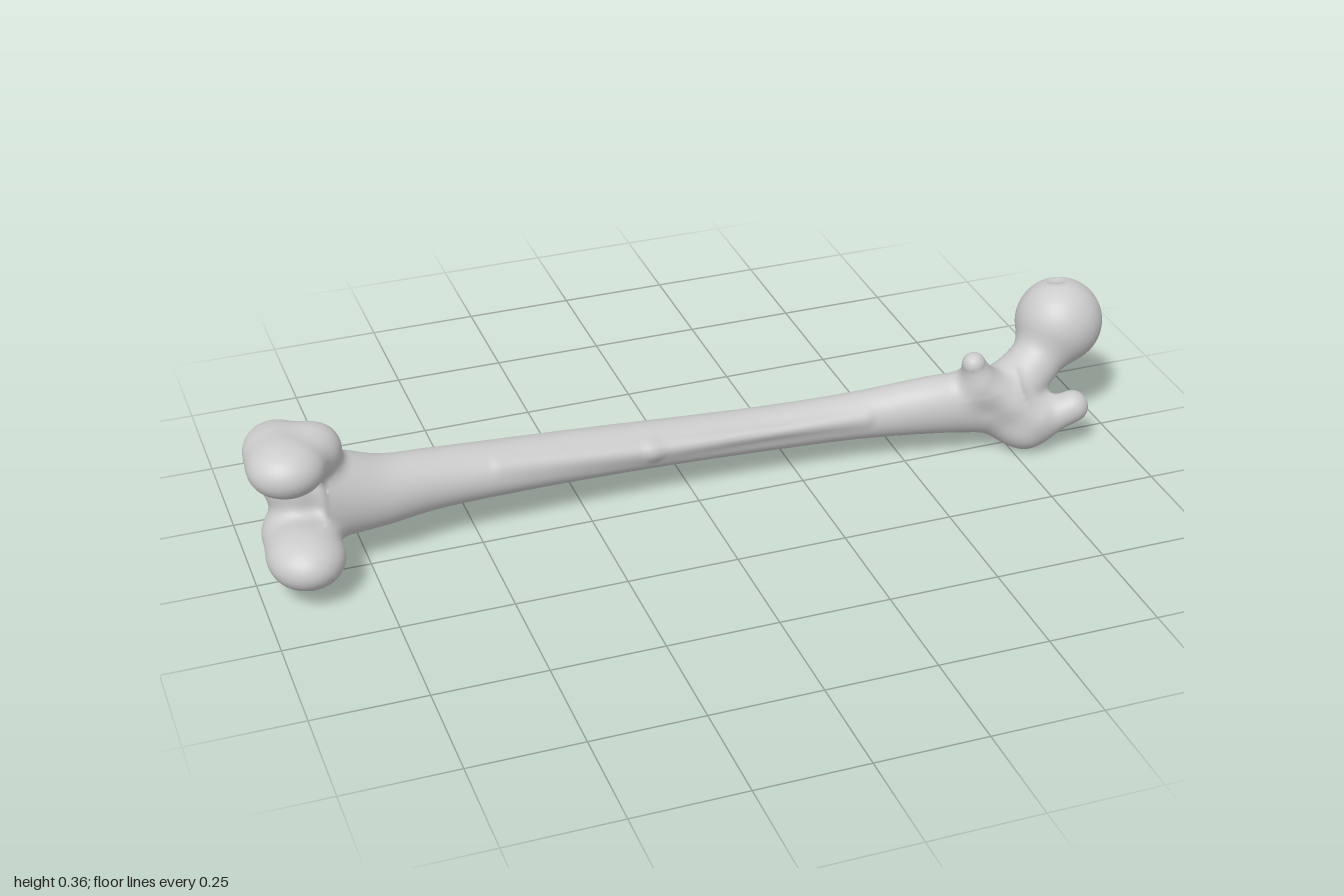
import * as THREE from 'three';

// ---- Distance helpers: each form returns distance from (x, y, z) to its surface ----
const ellipsoid = (c, r) => (x, y, z) => {
  const a = (x - c[0]) / r[0], b = (y - c[1]) / r[1], d = (z - c[2]) / r[2];
  const k0 = Math.hypot(a, b, d), k1 = Math.hypot(a / r[0], b / r[1], d / r[2]);
  return k1 < 1e-6 ? -Math.min(...r) : k0 * (k0 - 1) / k1;
};
const taper = (a, ra, b, rb) => {
  const v = b.map((n, i) => n - a[i]), len2 = v[0] ** 2 + v[1] ** 2 + v[2] ** 2;
  return (x, y, z) => {
    const p = [x - a[0], y - a[1], z - a[2]];
    const t = THREE.MathUtils.clamp((p[0] * v[0] + p[1] * v[1] + p[2] * v[2]) / len2, 0, 1);
    return Math.hypot(p[0] - v[0] * t, p[1] - v[1] * t, p[2] - v[2] * t) - ra - (rb - ra) * t;
  };
};
const blend = (a, b, k) => {
  const h = Math.max(k - Math.abs(a - b), 0) / k;
  return Math.min(a, b) - h * h * k / 4;
};

// Bowed shaft: oval sections [x, centre y, centre z, half height, half depth]
const sections = [
  [-0.84, 0.182, -0.035, 0.112, 0.08],
  [-0.78, 0.168, -0.042, 0.096, 0.078],
  [-0.70, 0.152, -0.052, 0.078, 0.075],
  [-0.60, 0.147, -0.065, 0.068, 0.069],
  [-0.40, 0.137, -0.076, 0.058, 0.067],
  [-0.20, 0.127, -0.081, 0.053, 0.063],
  [0.00, 0.117, -0.081, 0.049, 0.060],
  [0.20, 0.111, -0.073, 0.049, 0.056],
  [0.40, 0.115, -0.052, 0.055, 0.053],
  [0.60, 0.127, -0.015, 0.071, 0.058],
  [0.74, 0.115, 0.000, 0.078, 0.062],
];
const along = new THREE.CubicInterpolant(
  sections.map((s) => s[0]), sections.flatMap((s) => s.slice(1)), 4, new Float32Array(4));
const shaftForm = (x, y, z) => {
  const [cy, cz, ry, rz] = along.evaluate(x);
  const a = (y - cy) / ry, b = (z - cz) / rz;
  const k0 = Math.hypot(a, b), k1 = Math.hypot(a / ry, b / rz);
  const side = k1 < 1e-6 ? -Math.min(ry, rz) : k0 * (k0 - 1) / k1;
  return Math.max(side, -0.84 - x, x - 0.74);
};

// Named parts, each a list of forms with its blending width
const parts = [
  { name: 'shaft', k: 0.02, forms: [shaftForm] },
  { name: 'shaftRidge', k: 0.025, forms: [
    taper([-0.45, 0.165, -0.03], 0.008, [-0.1, 0.138, -0.029], 0.011),
    taper([-0.1, 0.138, -0.029], 0.011, [0.4, 0.13, -0.011], 0.008),
  ] },
  { name: 'kneeGroove', k: 0.04, forms: [
    ellipsoid([-0.88, 0.18, -0.065], [0.07, 0.09, 0.055]),
    ellipsoid([-0.91, 0.24, -0.085], [0.065, 0.06, 0.05]),
  ] },
  { name: 'upperCondyle', k: 0.035, forms: [
    ellipsoid([-0.918, 0.303, -0.015], [0.08, 0.053, 0.12]),
    ellipsoid([-0.92, 0.303, 0.045], [0.076, 0.053, 0.065]),
    ellipsoid([-0.845, 0.298, -0.025], [0.055, 0.055, 0.06]),
  ] },
  { name: 'lowerCondyle', k: 0.035, forms: [
    ellipsoid([-0.9, 0.097, 0.03], [0.078, 0.053, 0.123]),
    ellipsoid([-0.9, 0.097, 0.08], [0.075, 0.053, 0.073]),
    ellipsoid([-0.885, 0.088, -0.055], [0.08, 0.055, 0.068]),
  ] },
  { name: 'neck', k: 0.045, forms: [
    taper([0.87, 0.225, -0.04], 0.058, [0.75, 0.125, 0.0], 0.066),
  ] },
  { name: 'head', k: 0.025, forms: [ellipsoid([0.898, 0.266, -0.058], [0.1, 0.1, 0.098])] },
  { name: 'greaterTrochanter', k: 0.03, forms: [
    ellipsoid([0.785, 0.072, 0.012], [0.08, 0.07, 0.075]),
    ellipsoid([0.79, 0.1, -0.03], [0.065, 0.055, 0.052]),
    taper([0.78, 0.065, 0.045], 0.045, [0.882, 0.11, 0.068], 0.037),
  ] },
  { name: 'lesserTrochanter', k: 0.035, forms: [
    taper([0.648, 0.243, 0.025], 0.027, [0.668, 0.18, 0.012], 0.045),
    taper([0.67, 0.19, 0.03], 0.024, [0.79, 0.1, 0.065], 0.024),
  ] },
];
// Hollows: pit on the head, and the pocket beside the greater trochanter
const hollows = [
  ellipsoid([0.895, 0.378, -0.08], [0.024, 0.022, 0.024]),
  ellipsoid([0.875, 0.13, 0.012], [0.035, 0.028, 0.024]),
];

const distance = (part, x, y, z) => Math.min(...part.forms.map((f) => f(x, y, z)));
const field = (x, y, z) => {
  let d = 1;
  for (const part of parts) for (const f of part.forms) d = blend(d, f(x, y, z), part.k);
  for (const h of hollows) d = -blend(-d, h(x, y, z), 0.015);
  return d;
};
const gradient = (x, y, z, e = 0.002) => new THREE.Vector3(
  field(x + e, y, z) - field(x - e, y, z),
  field(x, y + e, z) - field(x, y - e, z),
  field(x, y, z + e) - field(x, y, z - e)).divideScalar(2 * e);

// Skin the blended forms with quads on a regular grid, sorted by nearest part
function skin() {
  const step = 0.009, origin = [-1.035, -0.03, -0.19], n = [231, 49, 42];
  const stride = [1, n[0], n[0] * n[1]];
  const at = (i, j, k) => i + j * stride[1] + k * stride[2];
  const value = new Float32Array(n[0] * n[1] * n[2]);
  for (let k = 0; k < n[2]; k++) for (let j = 0; j < n[1]; j++) for (let i = 0; i < n[0]; i++)
    value[at(i, j, k)] = field(origin[0] + i * step, origin[1] + j * step, origin[2] + k * step);

  const vertexOf = new Int32Array(value.length).fill(-1);
  const positions = [], normals = [], owner = [];
  const indices = parts.map(() => []);
  const corners = [0, 1, 2, 3, 4, 5, 6, 7].map((c) => [c & 1, (c >> 1) & 1, c >> 2]);

  // One vertex in each cell the surface crosses, pulled onto the surface
  for (let k = 0; k < n[2] - 1; k++) for (let j = 0; j < n[1] - 1; j++) for (let i = 0; i < n[0] - 1; i++) {
    const v = corners.map((c) => value[at(i + c[0], j + c[1], k + c[2])]);
    const p = new THREE.Vector3();
    let count = 0;
    for (let c = 0; c < 8; c++) for (const bit of [1, 2, 4]) {
      const o = c | bit;
      if (o === c || (v[c] < 0) === (v[o] < 0)) continue;
      const t = v[c] / (v[c] - v[o]);
      p.add(new THREE.Vector3(...corners[c]).lerp(new THREE.Vector3(...corners[o]), t));
      count++;
    }
    if (!count) continue;
    p.divideScalar(count).add(new THREE.Vector3(i, j, k)).multiplyScalar(step)
      .add(new THREE.Vector3(...origin));
    const g = gradient(p.x, p.y, p.z);
    const move = field(p.x, p.y, p.z) / Math.max(g.lengthSq(), 0.25);
    p.addScaledVector(g, -THREE.MathUtils.clamp(move, -step / 3, step / 3));
    vertexOf[at(i, j, k)] = owner.length;
    positions.push(p.x, p.y, p.z);
    normals.push(...gradient(p.x, p.y, p.z).normalize().toArray());
    const near = parts.map((part) => distance(part, p.x, p.y, p.z));
    owner.push(near.indexOf(Math.min(...near)));
  }

  // One quad around each grid edge the surface crosses
  for (let k = 1; k < n[2] - 1; k++) for (let j = 1; j < n[1] - 1; j++) for (let i = 1; i < n[0] - 1; i++) {
    const here = at(i, j, k);
    for (let axis = 0; axis < 3; axis++) {
      const inside = value[here] < 0;
      if (inside === (value[here + stride[axis]] < 0)) continue;
      const u = stride[(axis + 1) % 3], w = stride[(axis + 2) % 3];
      const q = [here - u - w, here - w, here, here - u].map((c) => vertexOf[c]);
      if (!inside) q.reverse();
      indices[owner[q[0]]].push(q[0], q[1], q[2], q[0], q[2], q[3]);
    }
  }
  return { positions, normals, indices };
}

export function createModel() {
  const group = new THREE.Group();
  group.name = 'thighBone';
  const material = new THREE.MeshStandardMaterial({ color: 0xcccccc });
  const { positions, normals, indices } = skin();
  const position = new THREE.Float32BufferAttribute(positions, 3);
  const normal = new THREE.Float32BufferAttribute(normals, 3);
  parts.forEach((part, i) => {
    if (!indices[i].length) return;
    const geometry = new THREE.BufferGeometry();
    geometry.setAttribute('position', position);
    geometry.setAttribute('normal', normal);
    geometry.setIndex(indices[i]);
    const mesh = new THREE.Mesh(geometry, material);
    mesh.name = part.name;
    group.add(mesh);
  });
  return group;
}
